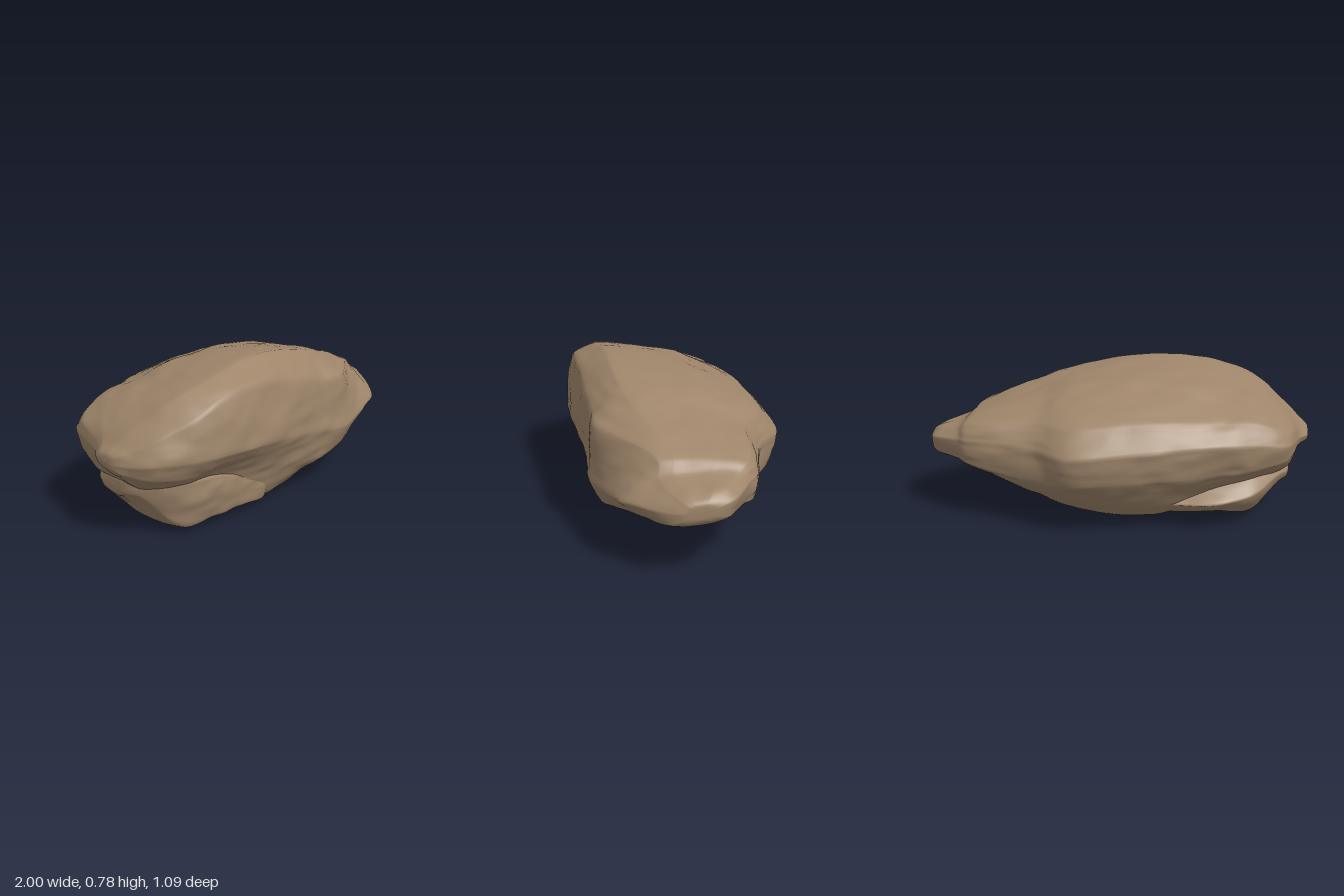
import * as THREE from 'three';

// Seeded value noise for the weathered surface
const hash = (x, y, z) => {
  const s = Math.sin(x * 127.1 + y * 311.7 + z * 74.7) * 43758.5453;
  return s - Math.floor(s);
};
function noise(x, y, z) {
  const ix = Math.floor(x), iy = Math.floor(y), iz = Math.floor(z);
  const ease = t => t * t * (3 - 2 * t);
  const fx = ease(x - ix), fy = ease(y - iy), fz = ease(z - iz);
  let sum = 0;
  for (let a = 0; a < 2; a++) for (let b = 0; b < 2; b++) for (let c = 0; c < 2; c++) {
    const w = (a ? fx : 1 - fx) * (b ? fy : 1 - fy) * (c ? fz : 1 - fz);
    sum += w * hash(ix + a, iy + b, iz + c);
  }
  return sum * 2 - 1;
}
// Broad dents, small pits and thin strata running along the length
const roughness = p =>
  0.008 * noise(p.x * 5, p.y * 7, p.z * 5) +
  0.005 * noise(p.x * 13, p.y * 17, p.z * 13) +
  0.004 * noise(p.x * 5 + 9, p.y * 34, p.z * 9);

// Lofts a closed skin through cross-sections of (z, y) corners placed along x
function loft(stations, sections, start, end, perStation, perSide) {
  const rows = sections.map((s, i) =>
    Array.from({ length: s.length / 2 }, (_, k) => new THREE.Vector3(stations[i], s[2 * k + 1], s[2 * k])));
  const shrink = (row, x, k) => {
    const c = row.reduce((a, p) => a.add(p), new THREE.Vector3()).divideScalar(row.length);
    return row.map(p => p.clone().lerp(c, 1 - k).setX(x));
  };
  const first = rows[0], last = rows[rows.length - 1];
  const near = (cap, row) => shrink(row, cap.x * 0.85 + row[0].x * 0.15, cap.taper);
  rows.unshift(shrink(first, start.x, 0.03), near(start, first));
  rows.push(near(end, last), shrink(last, end.x, 0.03));

  const sides = first.length, around = sides * perSide, along = (rows.length - 1) * perStation;
  const rails = first.map((_, k) => new THREE.CatmullRomCurve3(rows.map(r => r[k])));
  const positions = [], index = [];
  for (let i = 0; i <= along; i++) {
    const corners = rails.map(r => r.getPoint(i / along));
    const ring = new THREE.CatmullRomCurve3(corners, true);
    const centre = corners.reduce((a, p) => a.add(p), new THREE.Vector3()).divideScalar(sides);
    for (let j = 0; j < around; j++) {
      const k = Math.floor(j / perSide);
      // Mostly straight facets, slightly rounded
      const p = corners[k].clone().lerp(corners[(k + 1) % sides], (j % perSide) / perSide);
      p.lerp(ring.getPoint(j / around), 0.4);
      const out = p.clone().sub(centre).setX(0);
      const fade = Math.min(1, out.length() / 0.1);
      p.addScaledVector(out.normalize(), roughness(p) * fade);
      positions.push(p.x, p.y, p.z);
      if (i < along) {
        const a = i * around + j, b = i * around + (j + 1) % around;
        index.push(a, a + around, b + around, a, b + around, b);
      }
    }
  }
  // Close both ends
  for (let j = 1; j < around - 1; j++) {
    const e = along * around;
    index.push(0, j, j + 1, e, e + j + 1, e + j);
  }
  const g = new THREE.BufferGeometry();
  g.setAttribute('position', new THREE.Float32BufferAttribute(positions, 3));
  g.setIndex(index);
  g.computeVertexNormals();
  return g;
}

// Main boulder, front and top: front edge, bulge, ridge, crest, top
const bodyX = [-0.95, -0.88, -0.7, -0.55, -0.2, 0.2, 0.4, 0.76, 0.82, 0.96];
const bodyUpper = [
  [0.29, 0.35, 0.31, 0.40, 0.28, 0.46, 0.20, 0.48, 0.10, 0.47],
  [0.37, 0.33, 0.40, 0.41, 0.36, 0.51, 0.24, 0.55, 0.02, 0.54],
  [0.45, 0.32, 0.50, 0.42, 0.47, 0.61, 0.33, 0.685, -0.02, 0.64],
  [0.45, 0.32, 0.53, 0.42, 0.49, 0.68, 0.36, 0.74, -0.05, 0.68],
  [0.42, 0.22, 0.51, 0.40, 0.46, 0.68, 0.31, 0.785, -0.10, 0.725],
  [0.39, 0.16, 0.435, 0.34, 0.42, 0.61, 0.27, 0.745, -0.12, 0.71],
  [0.38, 0.19, 0.43, 0.32, 0.39, 0.59, 0.20, 0.685, -0.15, 0.65],
  [0.25, 0.29, 0.31, 0.36, 0.13, 0.55, 0.05, 0.56, -0.15, 0.55],
  [0.21, 0.30, 0.27, 0.37, 0.13, 0.48, 0.06, 0.505, -0.12, 0.51],
  [0.09, 0.32, 0.11, 0.38, 0.05, 0.44, 0.00, 0.455, -0.10, 0.465],
];
// Main boulder, back and underside: shoulder, back edge, back foot, rear and front underside
const bodyLower = [
  [0.06, 0.45, 0.03, 0.42, 0.06, 0.38, 0.12, 0.35, 0.22, 0.33],
  [-0.15, 0.51, -0.21, 0.45, -0.17, 0.36, -0.05, 0.29, 0.24, 0.27],
  [-0.24, 0.58, -0.33, 0.48, -0.29, 0.33, -0.14, 0.23, 0.30, 0.20],
  [-0.29, 0.59, -0.39, 0.49, -0.34, 0.32, -0.20, 0.20, 0.32, 0.17],
  [-0.39, 0.61, -0.49, 0.48, -0.46, 0.31, -0.28, 0.08, 0.33, 0.04],
  [-0.44, 0.58, -0.54, 0.45, -0.51, 0.29, -0.28, 0.10, 0.29, 0.08],
  [-0.35, 0.57, -0.42, 0.46, -0.41, 0.27, -0.25, 0.15, 0.25, 0.13],
  [-0.30, 0.53, -0.35, 0.46, -0.32, 0.33, -0.17, 0.28, 0.13, 0.27],
  [-0.24, 0.50, -0.30, 0.45, -0.27, 0.34, -0.14, 0.29, 0.10, 0.28],
  [-0.15, 0.455, -0.20, 0.43, -0.18, 0.35, -0.11, 0.32, 0.02, 0.31],
];
// Lower slab: front foot, front top, back top, back edge, back foot, underside
const slabX = [-0.85, -0.7, -0.5, -0.3, -0.13];
const slabSections = [
  [0.24, 0.21, 0.27, 0.32, 0.04, 0.33, -0.06, 0.25, -0.02, 0.20, 0.12, 0.17],
  [0.36, 0.05, 0.41, 0.30, -0.15, 0.30, -0.26, 0.19, -0.13, 0.07, 0.12, 0.02],
  [0.39, 0.06, 0.43, 0.28, -0.20, 0.27, -0.33, 0.16, -0.23, 0.09, 0.10, 0.04],
  [0.38, 0.06, 0.40, 0.22, -0.20, 0.24, -0.31, 0.15, -0.23, 0.08, 0.10, 0.03],
  [0.34, 0.04, 0.36, 0.17, -0.20, 0.19, -0.27, 0.13, -0.22, 0.06, 0.00, 0.01],
];

export function createModel() {
  const group = new THREE.Group();
  group.name = 'boulder';
  const stone = new THREE.MeshStandardMaterial({ color: 0x9e856a });
  stone.name = 'brown stone';
  const add = (name, geometry) => {
    const mesh = new THREE.Mesh(geometry, stone);
    mesh.name = name;
    group.add(mesh);
  };
  const bodySections = bodyUpper.map((upper, i) => [...upper, ...bodyLower[i]]);
  add('boulderBody', loft(bodyX, bodySections, { x: -1, taper: 0.5 }, { x: 1, taper: 0.6 }, 9, 11));
  add('lowerSlab', loft(slabX, slabSections, { x: -0.9, taper: 0.6 }, { x: -0.04, taper: 0.6 }, 10, 14));
  return group;
}
